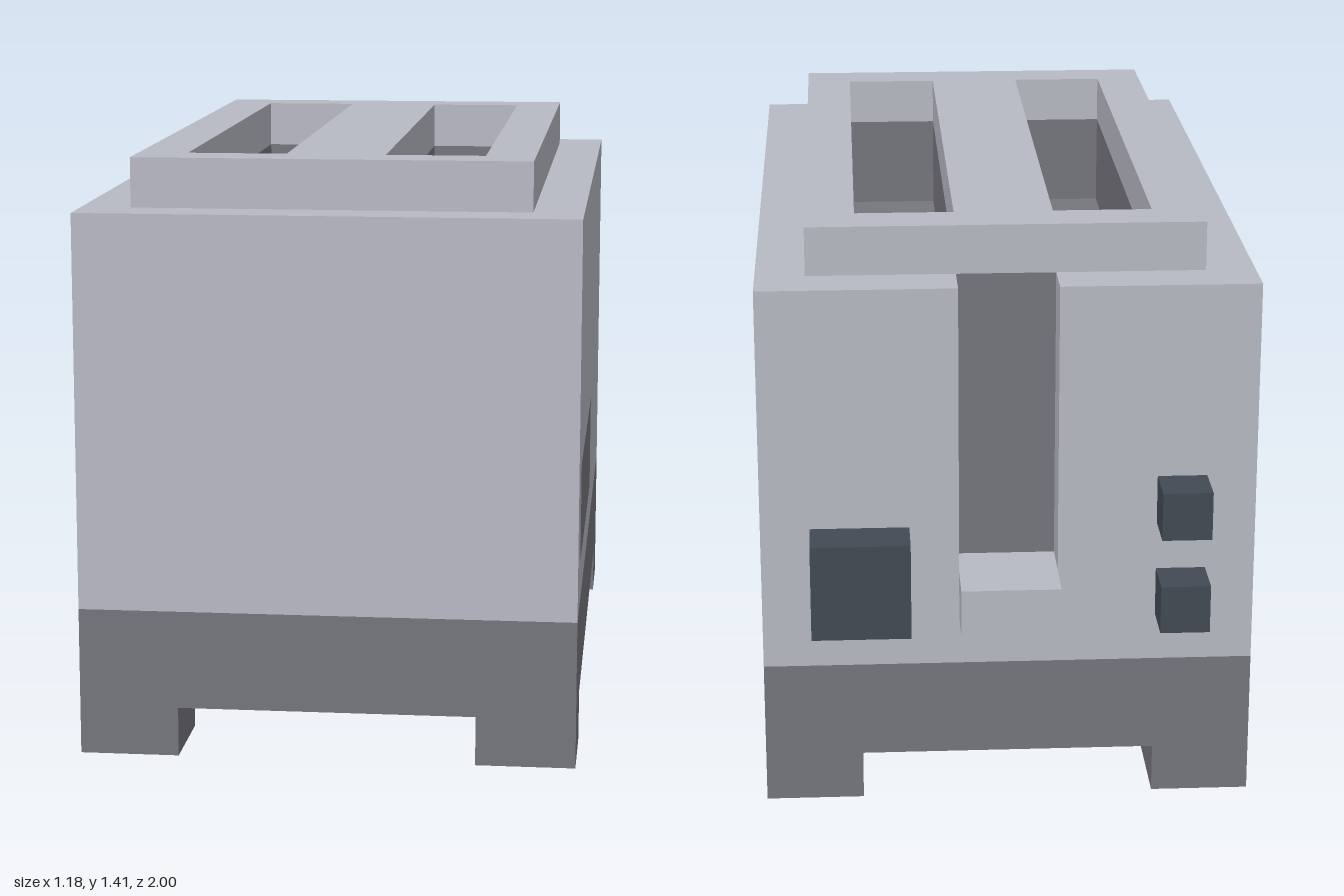
import * as THREE from 'three';

const U = 2 / 17; // one block of the modelling grid

export function createModel() {
  const model = new THREE.Group();
  model.name = 'toaster';

  const makeMaterial = (name, color) => {
    const m = new THREE.MeshStandardMaterial({ color });
    m.name = name;
    return m;
  };
  const silver = makeMaterial('silver', 0xb8bac4);
  const grey = makeMaterial('dark grey', 0x75757d);
  const slate = makeMaterial('slate', 0x424a53);

  const add = (name, geometry, material) => {
    const mesh = new THREE.Mesh(geometry, material);
    mesh.name = name;
    model.add(mesh);
  };

  // Box given by its limits in blocks
  const box = (name, material, [x0, x1], [y0, y1], [z0, z1]) => {
    const g = new THREE.BoxGeometry((x1 - x0) * U, (y1 - y0) * U, (z1 - z0) * U);
    g.translate((x0 + x1) / 2 * U, (y0 + y1) / 2 * U, (z0 + z1) / 2 * U);
    add(name, g, material);
  };

  // Upright prism from an x/z outline in blocks, with optional holes
  const toPoints = (outline) => outline.map(([x, z]) => new THREE.Vector2(x * U, -z * U));
  const prism = (name, material, outline, holes, y0, y1) => {
    const shape = new THREE.Shape(toPoints(outline));
    shape.holes = holes.map((h) => new THREE.Path(toPoints(h)));
    const g = new THREE.ExtrudeGeometry(shape, { depth: (y1 - y0) * U, bevelEnabled: false });
    g.rotateX(-Math.PI / 2);
    g.translate(0, y0 * U, 0);
    add(name, g, material);
  };
  // Counter-clockwise seen from above, so that hole walls face inwards
  const rect = (x0, x1, z0, z1) => [[x0, z0], [x0, z1], [x1, z1], [x1, z0]];

  // Base and four corner feet
  box('base', grey, [-5, 5], [1, 3], [-7.5, 8.5]);
  for (const x of [-5, 3]) {
    for (const z of [-7.5, 6.5]) box('foot', grey, [x, x + 2], [0, 1], [z, z + 2]);
  }

  // Outer shell, left open at the back for the lever channel
  prism('shell', silver, [
    [-5, -7.5], [-5, 8.5], [5, 8.5], [5, -7.5], [1, -7.5], [1, -6.5],
    [4, -6.5], [4, 7.5], [-4, 7.5], [-4, -6.5], [-1, -6.5], [-1, -7.5],
  ], [], 3, 11);
  box('channelSill', silver, [-1, 1], [3, 4], [-7.5, -6.5]);

  // Dark core lining the slots and the channel, and the raised rim above it
  const slots = [rect(-3, -1, -5.5, 6.5), rect(1, 3, -5.5, 6.5)];
  const inner = rect(-4, 4, -6.5, 7.5);
  box('core', grey, [-4, 4], [3, 9], [-6.5, 7.5]);
  prism('slotLining', grey, inner, slots, 9, 11);
  prism('topRim', silver, inner, slots, 11, 12);

  // Lever, dial and buttons on the back
  box('lever', silver, [-1, 1], [4, 5], [-8.5, -6.5]);
  box('dial', slate, [2, 4], [4, 6], [-8.5, -7.5]);
  for (const y of [4, 6]) box('button', slate, [-4, -3], [y, y + 1], [-8.5, -7.5]);

  // Painted panel on the left side
  box('sidePanel', grey, [4.99, 5.015], [4, 6], [0.5, 7.5]);

  return model;
}
